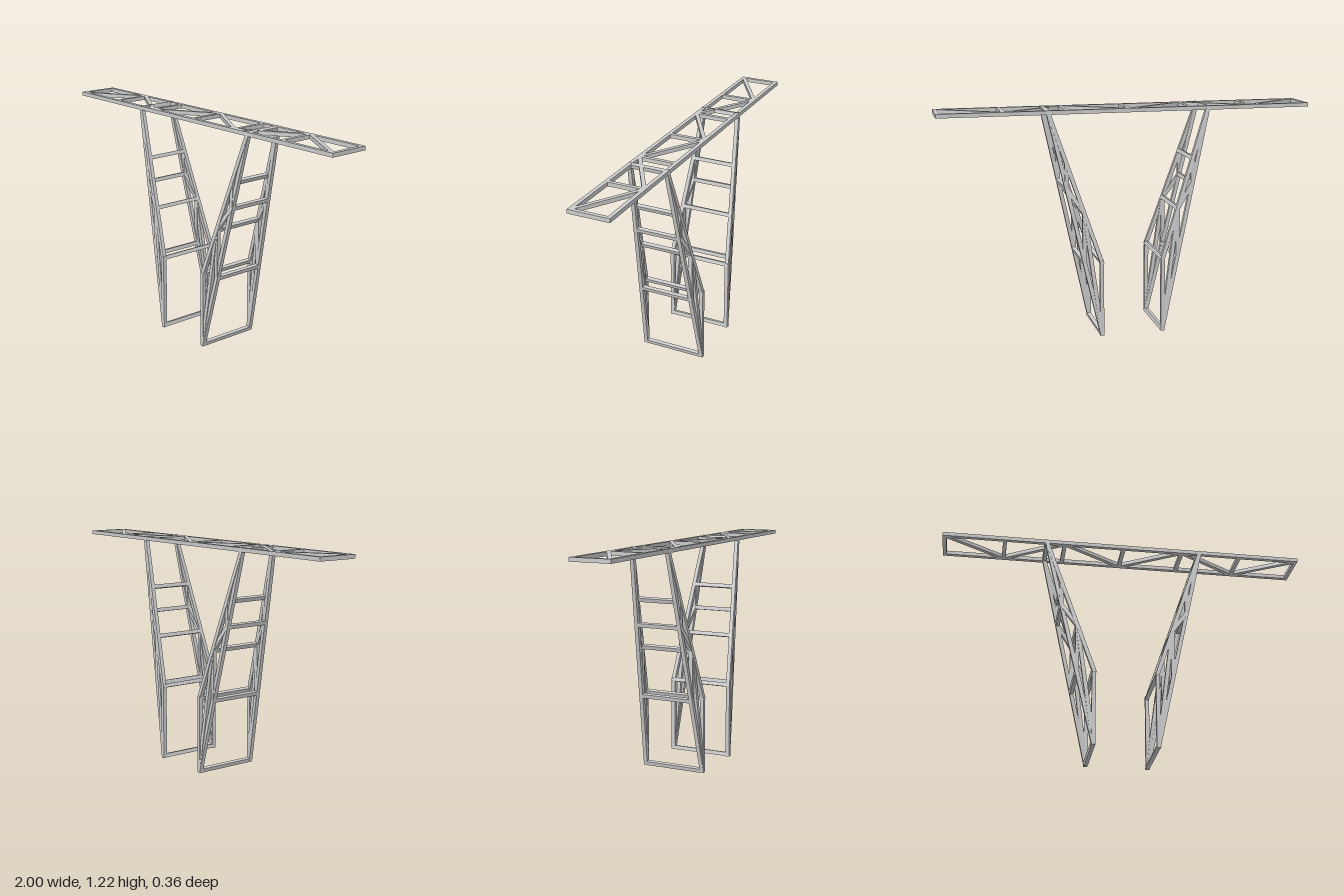
import * as THREE from 'three';

const T = 0.021; // bar thickness
const material = new THREE.MeshStandardMaterial({ color: 0xcccccc, flatShading: true });
const V = (x, y, z) => new THREE.Vector3(x, y, z);

// Square bar from a to b; hint fixes the roll around its axis
function bar(parent, name, a, b, hint = V(0, 0, 1), extra = T / 2) {
  const axis = b.clone().sub(a);
  const length = axis.length() + extra * 2;
  axis.normalize();
  const side = new THREE.Vector3().crossVectors(axis, hint).normalize();
  const depth = new THREE.Vector3().crossVectors(side, axis);
  const mesh = new THREE.Mesh(new THREE.BoxGeometry(T, length, T), material);
  mesh.name = name;
  mesh.quaternion.setFromRotationMatrix(new THREE.Matrix4().makeBasis(side, axis, depth));
  mesh.position.copy(a).add(b).multiplyScalar(0.5);
  parent.add(mesh);
}

// Flat horizontal truss
function crossBeam() {
  const g = new THREE.Group();
  g.name = 'crossBeam';
  const y = 1.2, hx = 0.99, hz = 0.1, step = 0.33;
  const up = V(0, 1, 0);
  for (const s of [-1, 1]) bar(g, 'beamRail', V(-hx, y, s * hz), V(hx, y, s * hz));
  for (let i = -3; i <= 3; i++) {
    bar(g, 'beamCrossbar', V(i * step, y, -hz), V(i * step, y, hz), up);
    const s = i % 2 ? 1 : -1;
    if (i < 3) bar(g, 'beamDiagonal', V(i * step, y, s * hz), V((i + 1) * step, y, -s * hz), up, 0);
  }
  return g;
}

// Splayed lattice leg; m = 1 for left, -1 for right
function tower(m) {
  const g = new THREE.Group();
  g.name = m > 0 ? 'leftTower' : 'rightTower';
  const foot = V(m * 0.168, 0.012, 0.169);
  const knee = V(m * 0.168, 0.41, 0.169);
  const top = V(m * 0.43, 1.2, 0.1);
  const flip = (p, s) => V(p.x, p.y, p.z * s);
  const outer = [0, 1, 2, 3].map((i) => foot.clone().lerp(top, i / 3));
  const inner = [0, 1, 2, 3].map((i) => knee.clone().lerp(top, i / 3));

  // Side frames with bracing
  for (const s of [-1, 1]) {
    const side = (name, a, b, extra) => bar(g, name, flip(a, s), flip(b, s), V(0, 0, 1), extra);
    side('outerLeg', foot, top);
    side('innerPost', foot, knee);
    side('innerLeg', knee, top);
    for (const i of [1, 2]) side('sideStrut', outer[i], inner[i], 0);
    side('sideDiagonal', outer[0], inner[1], 0);
    side('sideDiagonal', inner[1], outer[2], 0);
  }

  // Rungs joining the two side frames
  const outerDir = top.clone().sub(foot), innerDir = top.clone().sub(knee);
  outerDir.z = innerDir.z = 0;
  outer.forEach((p) => bar(g, 'outerRung', flip(p, -1), p, outerDir, 0));
  inner.slice(0, 3).forEach((p) => bar(g, 'innerRung', flip(p, -1), p, innerDir, 0));
  return g;
}

export function createModel() {
  const model = new THREE.Group();
  model.name = 'trussStand';
  model.add(crossBeam(), tower(1), tower(-1));
  return model;
}
